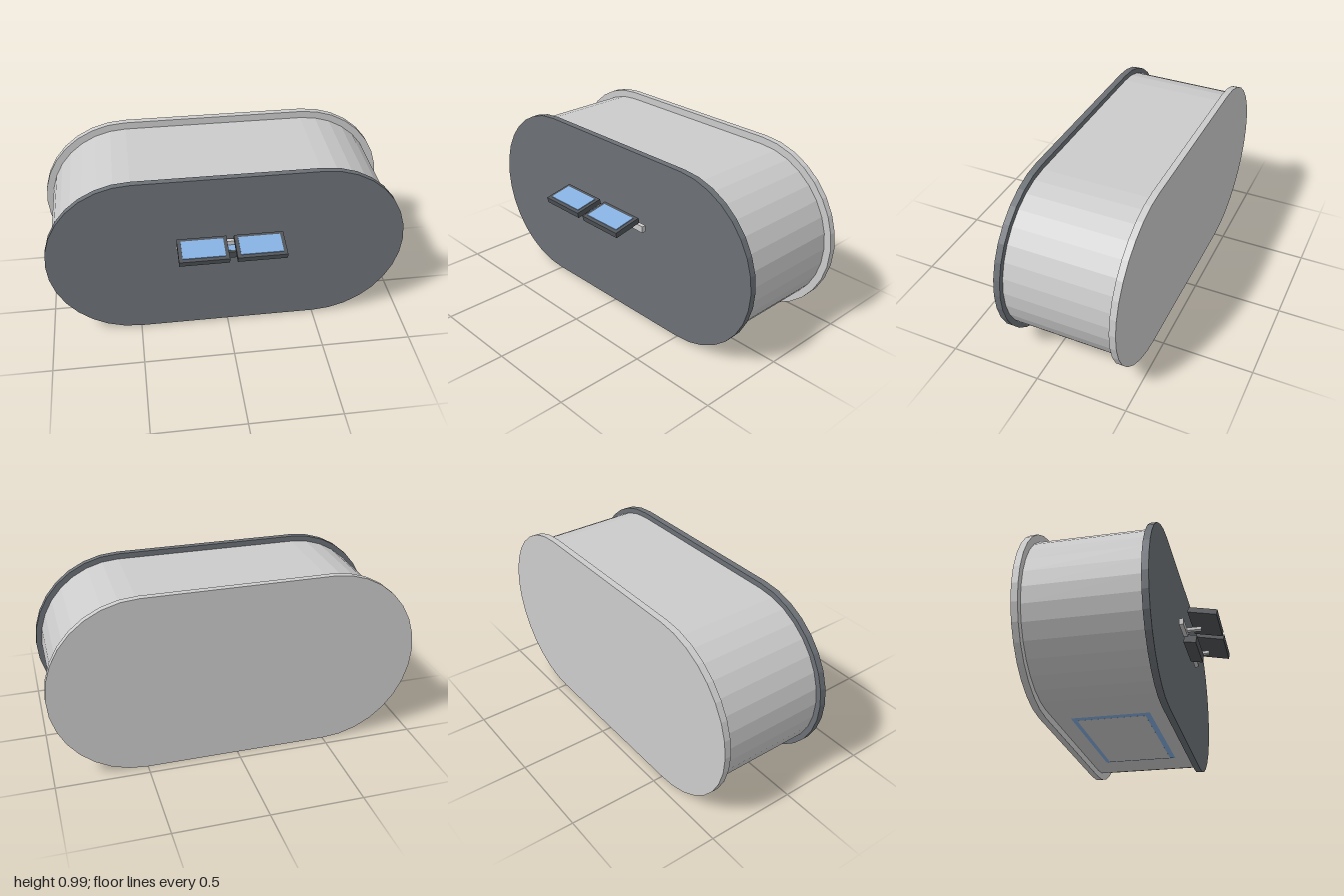
import * as THREE from 'three';

const mat = (color) => new THREE.MeshStandardMaterial({ color, flatShading: true });
const grey = mat(0xcccccc);
const dark = mat(0x6c7176);
const black = mat(0x505458);
const blue = mat(0x86b0e0);

const CENTRE_Y = 0.495;
const HALF_STRAIGHT = 0.505;

// Capsule outline extruded from z0 to z1
function capsuleSlab(name, radius, z0, z1, material) {
  const s = new THREE.Shape();
  s.absarc(HALF_STRAIGHT, CENTRE_Y, radius, -Math.PI / 2, Math.PI / 2);
  s.absarc(-HALF_STRAIGHT, CENTRE_Y, radius, Math.PI / 2, Math.PI * 1.5);
  s.closePath();
  const g = new THREE.ExtrudeGeometry(s, { depth: z1 - z0, bevelEnabled: false, curveSegments: 8 });
  g.translate(0, 0, z0);
  const m = new THREE.Mesh(g, material);
  m.name = name;
  return m;
}

function box(name, w, h, d, x, y, z, material) {
  const m = new THREE.Mesh(new THREE.BoxGeometry(w, h, d), material);
  m.name = name;
  m.position.set(x, y, z);
  return m;
}

// Dark slab with a thin blue pane on its top, tilted towards the front
function framedPane(name, w, h, d, margin, raise, x, y, z, tilt) {
  const g = new THREE.Group();
  g.name = name;
  g.add(box('paneFrame', w, h, d, 0, 0, 0, black));
  g.add(box('pane', w - 2 * margin, 0.008, d - 2 * margin, 0, h / 2 + raise - 0.004, 0, blue));
  g.position.set(x, y, z);
  g.rotation.x = tilt;
  return g;
}

// Shallow sloped border hanging under the body, with a flat panel inside
function bottomHatch() {
  const g = new THREE.Group();
  g.name = 'bottomHatch';
  const geo = new THREE.BoxGeometry(0.77, 0.01, 0.45);
  const p = geo.attributes.position;
  for (let i = 0; i < p.count; i++) {
    if (p.getY(i) < 0) {
      p.setX(i, Math.sign(p.getX(i)) * 0.35);
      p.setZ(i, Math.sign(p.getZ(i)) * 0.185);
    }
  }
  geo.computeVertexNormals();
  const border = new THREE.Mesh(geo, blue);
  border.name = 'hatchBorder';
  border.position.set(0, 0.0395, -0.115);
  g.add(border, box('hatchPanel', 0.69, 0.004, 0.36, 0, 0.0362, -0.115, grey));
  return g;
}

export function createModel() {
  const model = new THREE.Group();
  model.name = 'capsuleHousing';

  // Housing
  model.add(capsuleSlab('body', 0.455, -0.42, 0.19, grey));
  model.add(capsuleSlab('frontPlate', 0.485, 0.18, 0.215, dark));
  model.add(capsuleSlab('backPlate', 0.495, -0.445, -0.41, grey));
  model.add(bottomHatch());

  // Small pane assembly in front of the plate
  const assembly = new THREE.Group();
  assembly.name = 'paneAssembly';
  assembly.add(box('crossBar', 0.565, 0.036, 0.024, 0, 0.587, 0.247, grey));
  for (const s of [-1, 1]) {
    assembly.add(box('arm', 0.025, 0.017, 0.085, s * 0.155, 0.5965, 0.297, grey));
    assembly.add(framedPane('upperPane', 0.265, 0.03, 0.16, 0.02, 0.004, s * 0.1525, 0.6375, 0.3635, 0.2));
  }
  assembly.add(framedPane('lowerPane', 0.265, 0.045, 0.07, 0.013, 0.001, 0, 0.555, 0.271, 0.17));
  model.add(assembly);

  return model;
}
